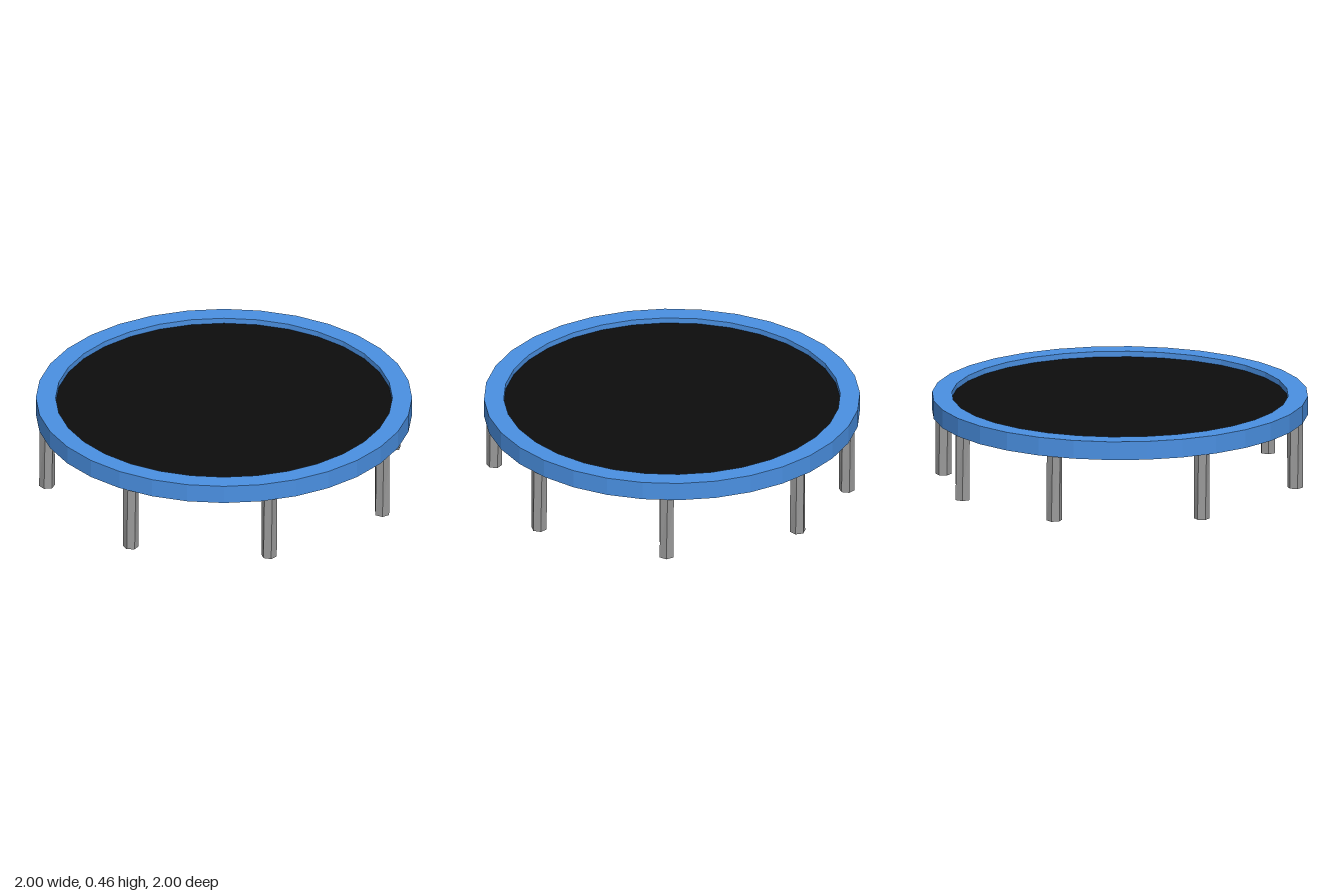
import * as THREE from 'three';

const SIDES = 32, RIM_BOTTOM = 0.36, RIM_TOP = 0.46, MAT_Y = 0.43, INNER = 0.895;
const flat = (color) => new THREE.MeshStandardMaterial({ color, flatShading: true });

// Hexagonal post, turned slightly between foot and top
function legGeometry(radius, height, twist) {
  const geo = new THREE.CylinderGeometry(radius, radius, height, 6, 1);
  geo.translate(0, height / 2, 0);
  const pos = geo.attributes.position;
  const v = new THREE.Vector3(), up = new THREE.Vector3(0, 1, 0);
  for (let i = 0; i < pos.count; i++) {
    v.fromBufferAttribute(pos, i);
    v.applyAxisAngle(up, twist * (v.y / height));
    pos.setXYZ(i, v.x, v.y, v.z);
  }
  return geo;
}

export function createModel() {
  const model = new THREE.Group();
  model.name = 'trampoline';

  // Padded rim with its closed underside
  const profile = [
    [0, RIM_BOTTOM], [1, RIM_BOTTOM], [1, RIM_TOP], [INNER, RIM_TOP], [INNER, MAT_Y],
  ].map(([r, y]) => new THREE.Vector2(r, y));
  const rim = new THREE.Mesh(new THREE.LatheGeometry(profile, SIDES), flat(0x4a90e2));
  rim.name = 'rim';
  model.add(rim);

  // Recessed jumping mat
  const mat = new THREE.Mesh(new THREE.CircleGeometry(INNER, SIDES), flat(0x0d0d0d));
  mat.rotation.x = -Math.PI / 2;
  mat.position.y = MAT_Y;
  mat.name = 'jumpingMat';
  model.add(mat);

  // Eight legs spaced unevenly around the rim (x, z)
  const legs = new THREE.Group();
  legs.name = 'legs';
  const spots = [
    [0.04, 0.95], [0.71, 0.63], [0.945, -0.10], [0.58, -0.75],
    [-0.15, -0.93], [-0.64, -0.70], [-0.94, -0.12], [-0.71, 0.63],
  ];
  const geo = legGeometry(0.042, RIM_BOTTOM, 0.15);
  const steel = flat(0x999999);
  spots.forEach(([x, z], i) => {
    const leg = new THREE.Mesh(geo, steel);
    leg.position.set(x, 0, z);
    leg.rotation.y = Math.atan2(x, z);
    leg.name = `leg${i + 1}`;
    legs.add(leg);
  });
  model.add(legs);

  return model;
}
